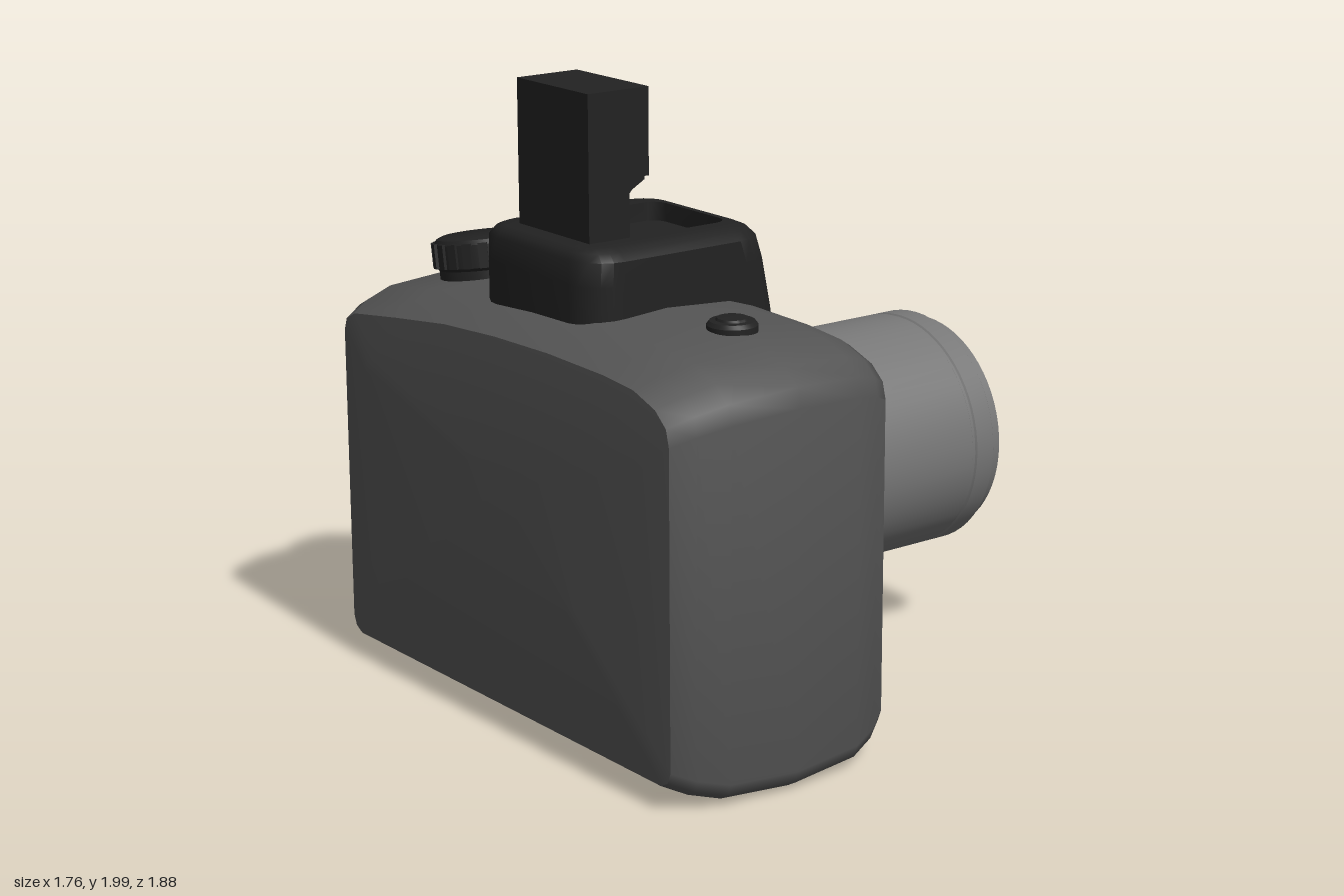
import * as THREE from 'three';
import { toCreasedNormals } from 'three/addons/utils/BufferGeometryUtils.js';

const mat = (color) => new THREE.MeshStandardMaterial({ color });
const V = (x, y, z) => new THREE.Vector3(x, y, z);

// Skin a list of equal-length rings, closing both ends with a fan
function loft(rings, crease) {
  const n = rings[0].length, pts = rings.flat(), index = [];
  for (let i = 0; i < rings.length - 1; i++) {
    for (let j = 0; j < n; j++) {
      const k = (j + 1) % n, a = i * n, b = a + n;
      index.push(a + j, a + k, b + k, a + j, b + k, b + j);
    }
  }
  const last = (rings.length - 1) * n, c = pts.length;
  for (const ring of [rings[0], rings[rings.length - 1]]) {
    pts.push(ring.reduce((s, p) => s.add(p), V(0, 0, 0)).divideScalar(n));
  }
  for (let j = 0; j < n; j++) {
    const k = (j + 1) % n;
    index.push(c, k, j, c + 1, last + j, last + k);
  }
  const g = new THREE.BufferGeometry().setFromPoints(pts);
  g.setIndex(index);
  return toCreasedNormals(g, crease);
}

// Horizontal rounded rectangle from x0 to x1, half width hz
function roundedRing(y, x0, x1, hz, r, seg = 5) {
  const ring = [], cx = (x0 + x1) / 2, hx = (x1 - x0) / 2;
  const corners = [[1, 1], [-1, 1], [-1, -1], [1, -1]]; // z sign, x sign
  corners.forEach(([sz, sx], q) => {
    for (let i = 0; i <= seg; i++) {
      const t = (q + i / seg) * Math.PI / 2;
      ring.push(V(cx + sx * (hx - r) + r * Math.sin(t), y, sz * (hz - r) + r * Math.cos(t)));
    }
  });
  return ring;
}

// Turned part from [radius, height] pairs
function turned(profile, seg, crease = 0.5) {
  return toCreasedNormals(new THREE.LatheGeometry(profile.map(([r, h]) => new THREE.Vector2(r, h)), seg), crease);
}

export function createModel() {
  const model = new THREE.Group();
  const dark = mat(0x555555), black = mat(0x222222), barrelGrey = mat(0x777777);
  const add = (name, geo, material, parent = model) => {
    const m = new THREE.Mesh(geo, material);
    m.name = name;
    parent.add(m);
    return m;
  };

  // Body: one [z, y] outline, shrunk towards the front and back faces
  const outline = [
    [-0.94, 1.17], [-0.925, 1.215], [-0.87, 1.245], [-0.6, 1.285], [-0.3, 1.325], [0, 1.345],
    [0.3, 1.352], [0.6, 1.345], [0.76, 1.33], [0.87, 1.29], [0.925, 1.24], [0.94, 1.18],
    [0.94, 0.07], [0.925, 0.03], [0.89, 0.01], [-0.89, 0.01], [-0.925, 0.03], [-0.94, 0.07],
  ];
  const slices = [
    [-0.885, 0.22], [-0.872, 0.08], [-0.8, 0.045], [-0.7, 0.016], [-0.46, 0],
    [-0.22, 0.016], [-0.13, 0.045], [-0.07, 0.08], [-0.055, 0.22],
  ];
  add('body', loft(slices.map(([x, d]) => outline.map(([z, y]) =>
    V(x, 0.68 + (y - 0.68) * (1 - d / 0.67), z * (1 - d / 0.94)))), 0.9), dark);

  // Viewfinder hump with a sunken tray on top
  const hump = [
    [1.0, -0.7, -0.01, 0.25, 0.1], [1.01, -0.72, 0.02, 0.285, 0.11], [1.04, -0.735, 0.036, 0.31, 0.12],
    [1.1, -0.735, 0.03, 0.31, 0.12], [1.28, -0.735, 0.0, 0.31, 0.12], [1.44, -0.735, -0.033, 0.31, 0.12],
    [1.515, -0.732, -0.058, 0.31, 0.12], [1.538, -0.722, -0.077, 0.285, 0.11], [1.55, -0.7, -0.105, 0.25, 0.08],
    [1.55, -0.65, -0.125, 0.185, 0.05], [1.49, -0.65, -0.125, 0.185, 0.05],
  ];
  add('viewfinderHump', loft(hump.map((h) => roundedRing(...h)), 0.8), black);

  // Raised flash: stem and head, framed window
  const flash = new THREE.Group();
  flash.name = 'flash';
  model.add(flash);
  const side = new THREE.Shape([[-0.65, 1.48], [-0.5, 1.48], [-0.5, 1.685], [-0.49, 1.695], [-0.445, 1.72],
    [-0.445, 2], [-0.65, 2]].map(([x, y]) => new THREE.Vector2(x, y)));
  add('flashArm', new THREE.ExtrudeGeometry(side, { depth: 0.364, bevelEnabled: false }).translate(0, 0, -0.182), black, flash);
  const rect = (Type, w, y0, y1) => new Type([[-w, y0], [w, y0], [w, y1], [-w, y1]].map(([x, y]) => new THREE.Vector2(x, y)));
  const frame = rect(THREE.Shape, 0.182, 1.73, 2);
  frame.holes.push(rect(THREE.Path, 0.158, 1.775, 1.957));
  const frameGeo = new THREE.ExtrudeGeometry(frame, { depth: 0.018, bevelEnabled: false });
  add('flashFrame', frameGeo.rotateY(Math.PI / 2).translate(-0.446, 0, 0), black, flash);
  add('flashWindow', new THREE.BoxGeometry(0.01, 0.18, 0.314).translate(-0.442, 1.866, 0), mat(0xbbbbbb), flash);

  // Lens: stepped barrel with a recessed front, and a domed glass
  const lens = new THREE.Group();
  lens.name = 'lens';
  lens.position.set(0, 0.68, -0.016);
  lens.rotation.z = -Math.PI / 2;
  model.add(lens);
  add('lensBarrel', turned([
    [0.415, -0.12], [0.415, 0.315], [0.41, 0.32], [0.39, 0.32], [0.39, 0.74], [0.385, 0.745], [0.385, 0.755],
    [0.39, 0.76], [0.39, 0.83], [0.385, 0.835], [0.365, 0.835], [0.365, 0.88], [0.335, 0.88],
    [0.31, 0.83], [0.31, 0.8], [0.25, 0.78], [0, 0.78],
  ], 64), barrelGrey, lens);
  add('lensGlass', turned([
    [0.25, 0.77], [0.249, 0.79], [0.235, 0.81], [0.2, 0.825], [0.14, 0.837], [0.07, 0.843], [0, 0.845],
  ], 48, 0.9), mat(0xb8e0d2), lens);

  // Red release button on the face of the body
  const red = add('releaseButton', turned([
    [0.072, -0.03], [0.072, 0.012], [0.066, 0.019], [0.05, 0.022], [0, 0.024],
  ], 32, 0.8), mat(0xe01010));
  red.position.set(-0.066, 1.133, -0.45);
  red.rotation.z = -Math.PI / 2;

  // Tilted mode dial with grip ribs
  const dial = new THREE.Group();
  dial.name = 'modeDial';
  dial.position.set(-0.443, 1.26, -0.667);
  dial.rotation.x = -0.16;
  model.add(dial);
  dial.rotation.x *= -1;
  dial.rotation.x = THREE.MathUtils.clamp(dial.rotation.x, -0.16, 0.16) * -1;
  add('dialBase', turned([[0.155, -0.06], [0.155, 0.05], [0, 0.05]], 40), black, dial);
  add('dialCap', turned([
    [0, 0.035], [0.155, 0.035], [0.164, 0.045], [0.164, 0.12], [0.155, 0.135], [0.135, 0.143], [0, 0.143],
  ], 40), black, dial);
  const ribs = 20;
  for (let i = 0; i < ribs; i++) {
    const rib = add('dialRib', new THREE.BoxGeometry(0.02, 0.08, 0.03), black, dial);
    const t = i / ribs * Math.PI * 2;
    rib.position.set(Math.cos(t) * 0.163, 0.085, Math.sin(t) * 0.163);
    rib.rotation.y = -t;
  }

  // Small round button on the other shoulder
  const button = add('topButton', turned([
    [0.077, -0.03], [0.077, 0.012], [0.068, 0.024], [0.05, 0.026], [0.046, 0.033], [0, 0.034],
  ], 32), black);
  button.position.set(-0.434, 1.343, 0.592);

  return model;
}
